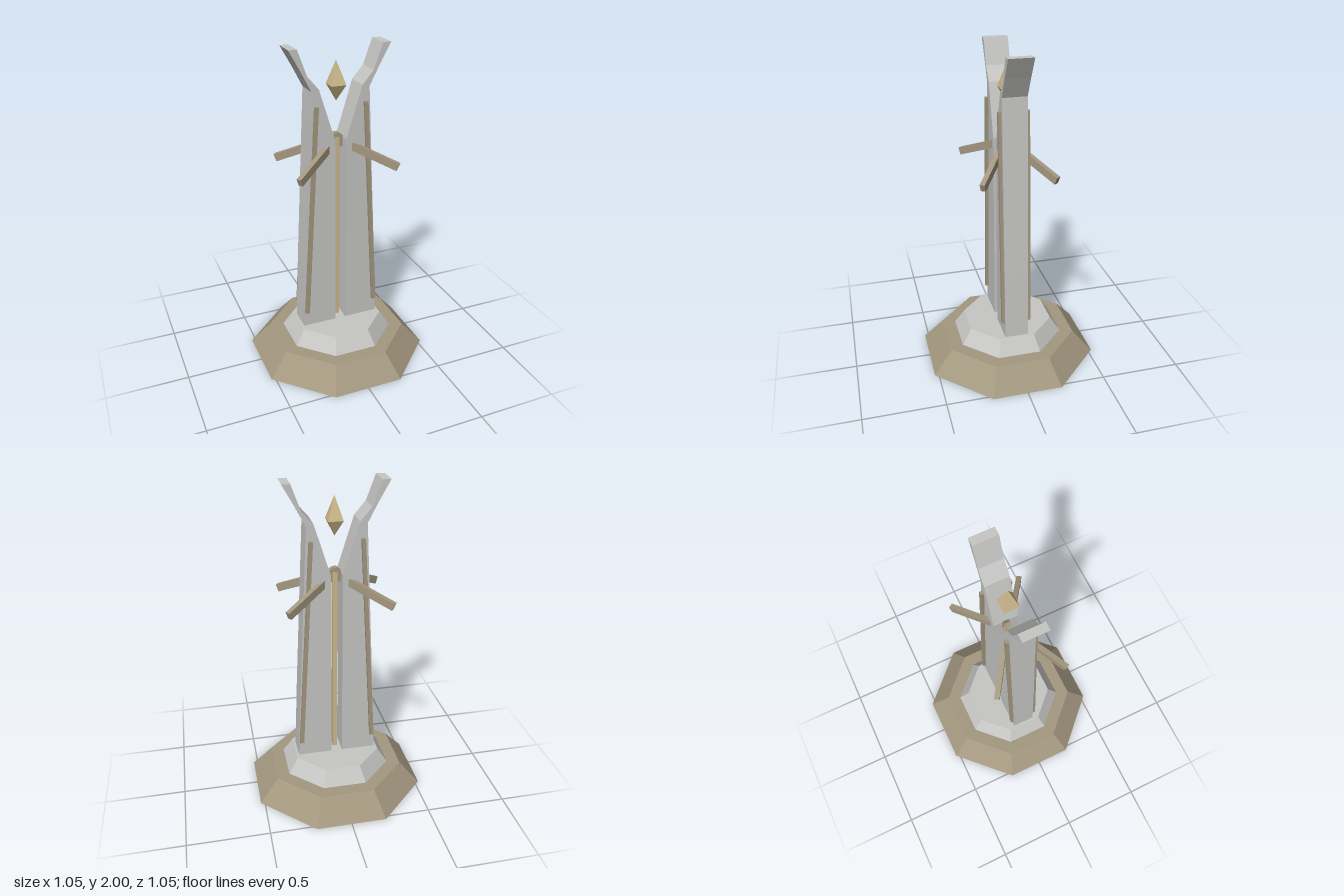
import * as THREE from 'three';

export function createModel() {
  const model = new THREE.Group();
  const mat = (name, color) => {
    const m = new THREE.MeshStandardMaterial({ color, flatShading: true });
    m.name = name;
    return m;
  };
  const stone = mat('pale stone', 0xc6c6c4);
  const bronze = mat('dull bronze', 0xa3977f);
  const gold = mat('pale gold', 0xcdb98c);

  const add = (name, geometry, material) => {
    const mesh = new THREE.Mesh(geometry, material);
    mesh.name = name;
    model.add(mesh);
    return mesh;
  };

  // Octagonal tier measured across its flat sides
  const tier = (name, bottom, top, y0, y1, material) => {
    const k = 1 / Math.cos(Math.PI / 8);
    const g = new THREE.CylinderGeometry(top * k, bottom * k, y1 - y0, 8, 1, false, Math.PI / 8);
    add(name, g.translate(0, (y0 + y1) / 2, 0), material);
  };
  tier('lowerBase', 0.525, 0.405, 0, 0.14, bronze);
  tier('upperBase', 0.325, 0.265, 0.14, 0.235, stone);

  // Flat outline given depth about z = 0
  const slab = (points, depth) => new THREE.ExtrudeGeometry(
    new THREE.Shape(points.map(([x, y]) => new THREE.Vector2(x, y))),
    { depth, bevelEnabled: false }
  ).translate(0, 0, -depth / 2);

  // Box beam between two points
  const beam = (name, a, b, width, height, material) => {
    const m = add(name, new THREE.BoxGeometry(width, height, a.distanceTo(b)), material);
    m.position.copy(a).lerp(b, 0.5);
    m.lookAt(b);
  };

  const pylon = [
    [0.035, 0.23], [0.25, 0.23], [0.231, 0.67], [0.176, 1.76], [0.238, 1.88],
    [0.305, 2], [0.255, 2], [0.2, 1.85], [0.132, 1.77], [0.035, 1.46]
  ];
  const strip = [[0.217, 0.335], [0.243, 0.335], [0.163, 1.675], [0.14, 1.675]];

  for (const s of [1, -1]) {
    const side = s > 0 ? 'left' : 'right';
    const mirror = (points) => points.map(([x, y]) => [s * x, y]);
    add(side + 'Pylon', slab(mirror(pylon), 0.146), stone);
    add(side + 'TrimStrip', slab(mirror(strip), 0.184), bronze);
    // Sloping arms, front and back
    for (const f of [1, -1]) {
      beam(side + (f > 0 ? 'Front' : 'Back') + 'Arm',
        new THREE.Vector3(s * 0.07, 1.413, f * 0.055),
        new THREE.Vector3(s * 0.307, 1.297, f * 0.216), 0.03, 0.046, bronze);
    }
  }

  // Central rod and the small cap bridging the pylons
  add('centreRod', new THREE.BoxGeometry(0.028, 1.23, 0.04).translate(0, 0.845, 0), gold);
  add('rodCap', slab([
    [-0.042, 1.4], [0.042, 1.4], [0.042, 1.46], [0.012, 1.486], [-0.012, 1.486], [-0.042, 1.46]
  ], 0.036), bronze);

  // Floating crystal: two square pyramids
  const r = 0.045 * Math.SQRT2;
  add('crystalTop', new THREE.CylinderGeometry(0, r, 0.14, 4, 1, true, Math.PI / 4).translate(0, 1.84, 0), gold);
  add('crystalBottom', new THREE.CylinderGeometry(r, 0, 0.095, 4, 1, true, Math.PI / 4).translate(0, 1.7225, 0), gold);

  return model;
}
